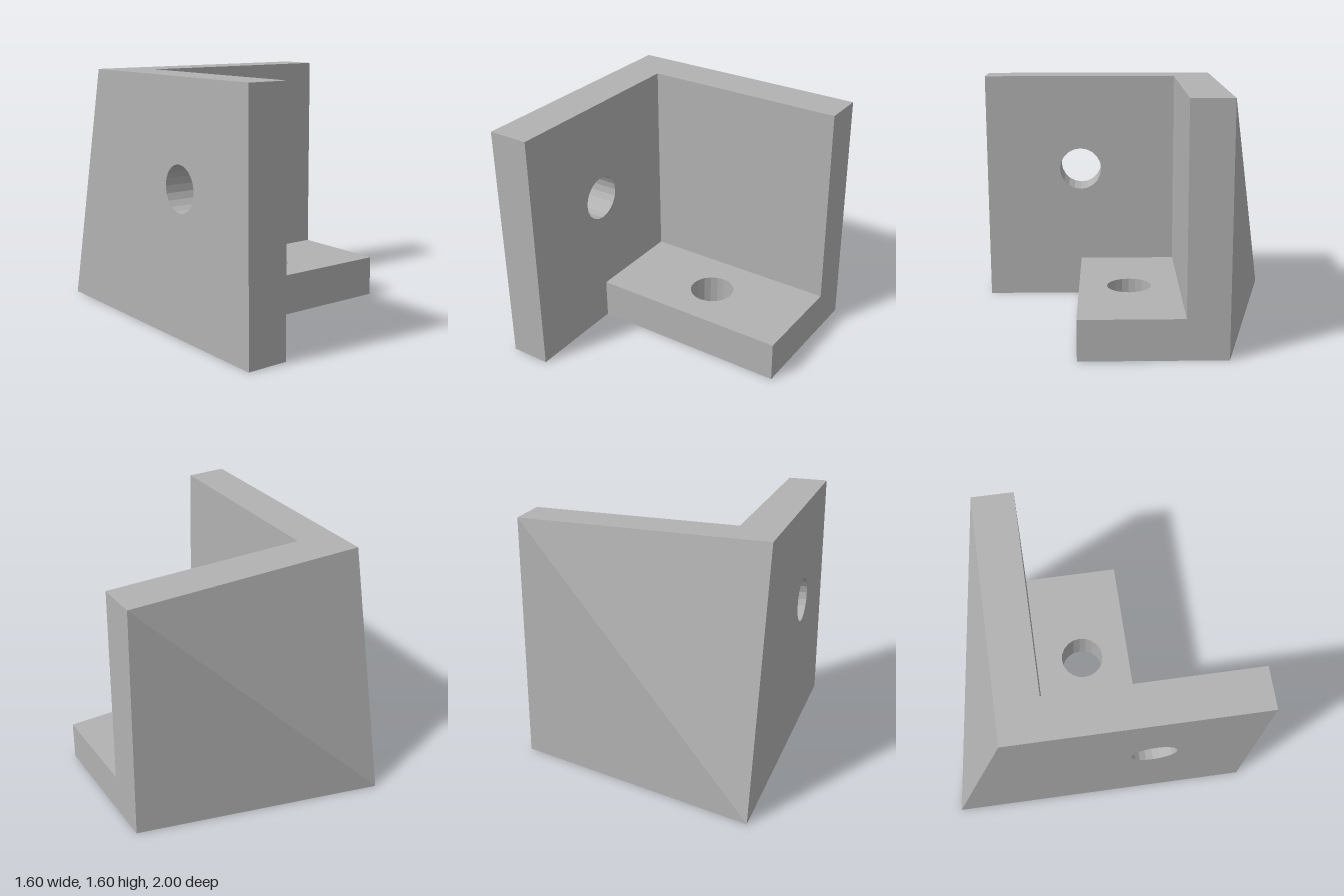
import * as THREE from 'three';

const T = 0.267; // wall thickness
const H = 1.6; // height
const HOLE = 0.148; // hole radius

// Rectangular plate with one round hole, extruded by the wall thickness
function holedPlate(u0, v0, u1, v1, hu, hv) {
  const shape = new THREE.Shape([
    new THREE.Vector2(u0, v0), new THREE.Vector2(u1, v0),
    new THREE.Vector2(u1, v1), new THREE.Vector2(u0, v1),
  ]);
  shape.holes.push(new THREE.Path().absarc(hu, hv, HOLE, 0, Math.PI * 2, true));
  return new THREE.ExtrudeGeometry(shape, { depth: T, bevelEnabled: false, curveSegments: 10 });
}

export function createModel() {
  const group = new THREE.Group();
  const grey = new THREE.MeshStandardMaterial({ color: 0xb2b2b2 });
  grey.name = 'grey';
  const add = (name, geometry) => {
    const mesh = new THREE.Mesh(geometry, grey);
    mesh.name = name;
    group.add(mesh);
  };

  // Upright side wall, drawn in z and y
  add('sideWall', holedPlate(-0.6, 0, 1, H, 0.333, 0.935)
    .rotateY(-Math.PI / 2).translate(-0.8 + T, 0, 0));

  // Floor plate, drawn in x and z
  add('floorPlate', holedPlate(-0.8 + T, -0.6 + T, 0.8, 0.333, 0.133, 0)
    .rotateX(Math.PI / 2).translate(0, T, 0));

  // Upright back wall
  add('backWall', new THREE.BoxGeometry(1.6 - T, H, T)
    .translate(T / 2, H / 2, -0.6 + T / 2));

  // Faceted wedge behind the back wall, running out to one low corner
  const a = [-0.8, H, -0.6], b = [0.8, H, -0.6], c = [0.8, 0, -0.6];
  const d = [-0.8, 0, -0.6], tip = [-0.8, 0, -1];
  const wedge = new THREE.BufferGeometry();
  wedge.setAttribute('position', new THREE.Float32BufferAttribute(
    [a, b, tip, b, c, tip, a, tip, d, tip, c, d].flat(), 3));
  wedge.computeVertexNormals();
  add('backWedge', wedge);

  return group;
}
